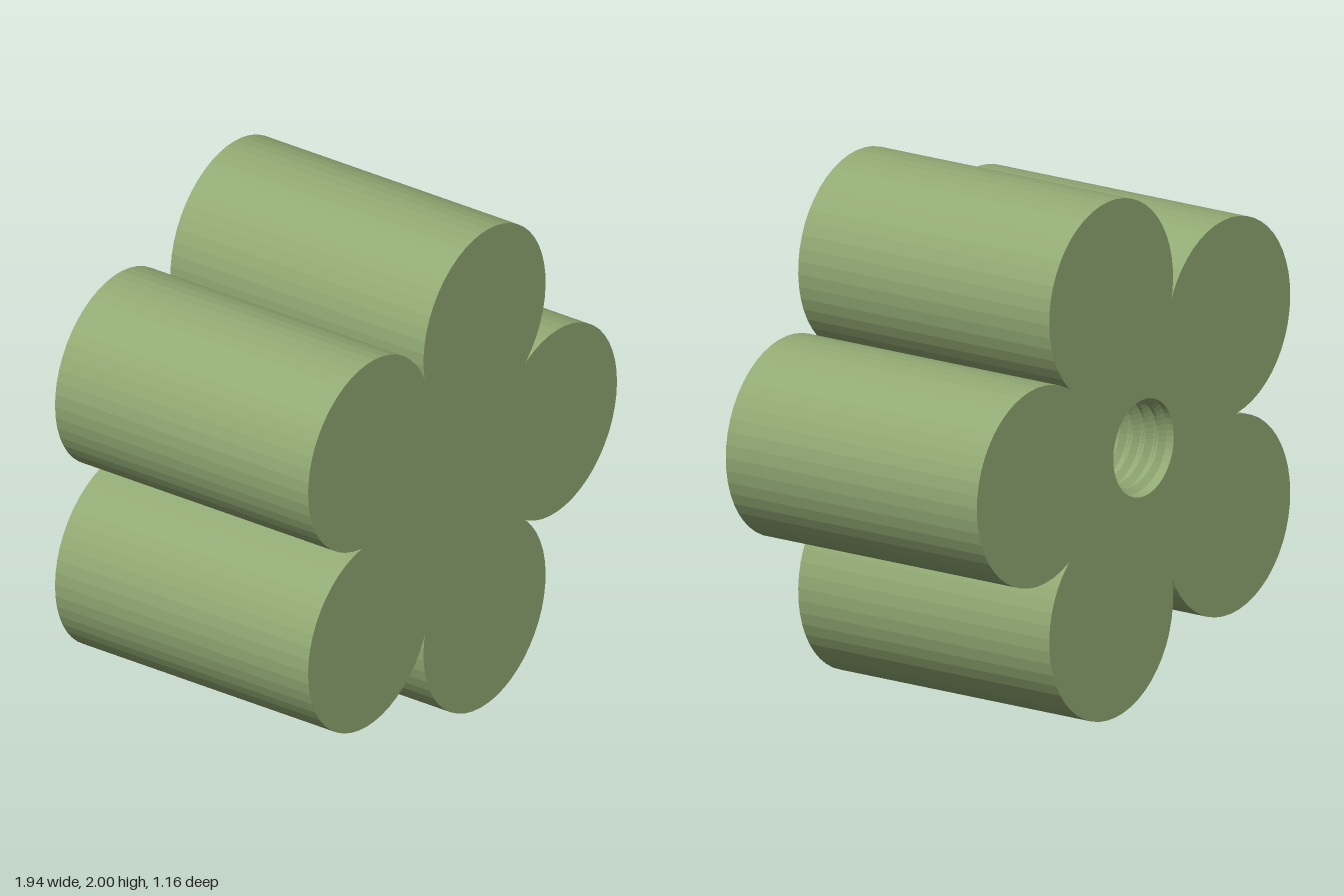
import * as THREE from 'three';
import { ParametricGeometry } from 'three/addons/geometries/ParametricGeometry.js';

const HALF = 0.58;      // half of the knob's thickness
const RING = 0.648;     // distance of lobe centres from the axis
const LOBE = 0.383;     // lobe radius
const BORE = 0.187;     // threaded hole radius
const DEPTH = 0.8;      // hole depth, from the back
const PITCH = 0.06;
const SEG = 48;

// Points of an arc about (cx, cy), angles in radians
function arc(cx, cy, r, from, to, n) {
  return Array.from({ length: n + 1 }, (_, i) => {
    const a = from + ((to - from) * i) / n;
    return new THREE.Vector2(cx + r * Math.cos(a), cy + r * Math.sin(a));
  });
}

// Five round lobes meeting in sharp notches, with a round bore in the middle
function lobedGeometry() {
  const reach = THREE.MathUtils.degToRad(125.5);
  const points = [];
  for (let i = 0; i < 5; i++) {
    const a = (i * Math.PI * 2) / 5;
    points.push(...arc(RING * Math.cos(a), RING * Math.sin(a), LOBE, a - reach, a + reach, 34));
  }
  const shape = new THREE.Shape(points);
  shape.holes.push(new THREE.Path(arc(0, 0, BORE, 0, Math.PI * 2, SEG).slice(0, SEG)));
  const geometry = new THREE.ExtrudeGeometry(shape, { depth: HALF * 2, bevelEnabled: false });
  return geometry.translate(0, 0, -HALF);
}

// Helical ridge: a trapezoid section swept around the bore wall
function threadGeometry() {
  const turns = Math.floor((DEPTH - 0.05) / PITCH);
  const section = [[BORE, -0.024], [BORE - 0.024, -0.006], [BORE - 0.024, 0.006], [BORE, 0.024]];
  return new ParametricGeometry((u, v, target) => {
    const [r, dz] = section[Math.round(u * 3)] ?? section[3];
    const a = v * turns * Math.PI * 2;
    target.set(r * Math.cos(a), r * Math.sin(a), -HALF + 0.026 + v * turns * PITCH + dz);
  }, 3, turns * SEG);
}

export function createModel() {
  const group = new THREE.Group();
  group.name = 'lobedKnob';
  const color = 0x92aa74;
  const material = new THREE.MeshStandardMaterial({ color, flatShading: true });
  const threadMaterial = new THREE.MeshStandardMaterial({ color, flatShading: true, side: THREE.DoubleSide });

  const add = (name, geometry, mat) => {
    const mesh = new THREE.Mesh(geometry, mat);
    mesh.name = name;
    mesh.position.set(-0.062, 1, 0);
    group.add(mesh);
  };

  add('lobedBody', lobedGeometry(), material);

  // Solid core closing the front and forming the floor of the hole
  const coreLength = HALF * 2 - DEPTH;
  const core = new THREE.CylinderGeometry(BORE, BORE, coreLength, SEG);
  core.rotateX(Math.PI / 2).translate(0, 0, HALF - coreLength / 2);
  add('frontCore', core, material);

  add('screwThread', threadGeometry(), threadMaterial);
  return group;
}
